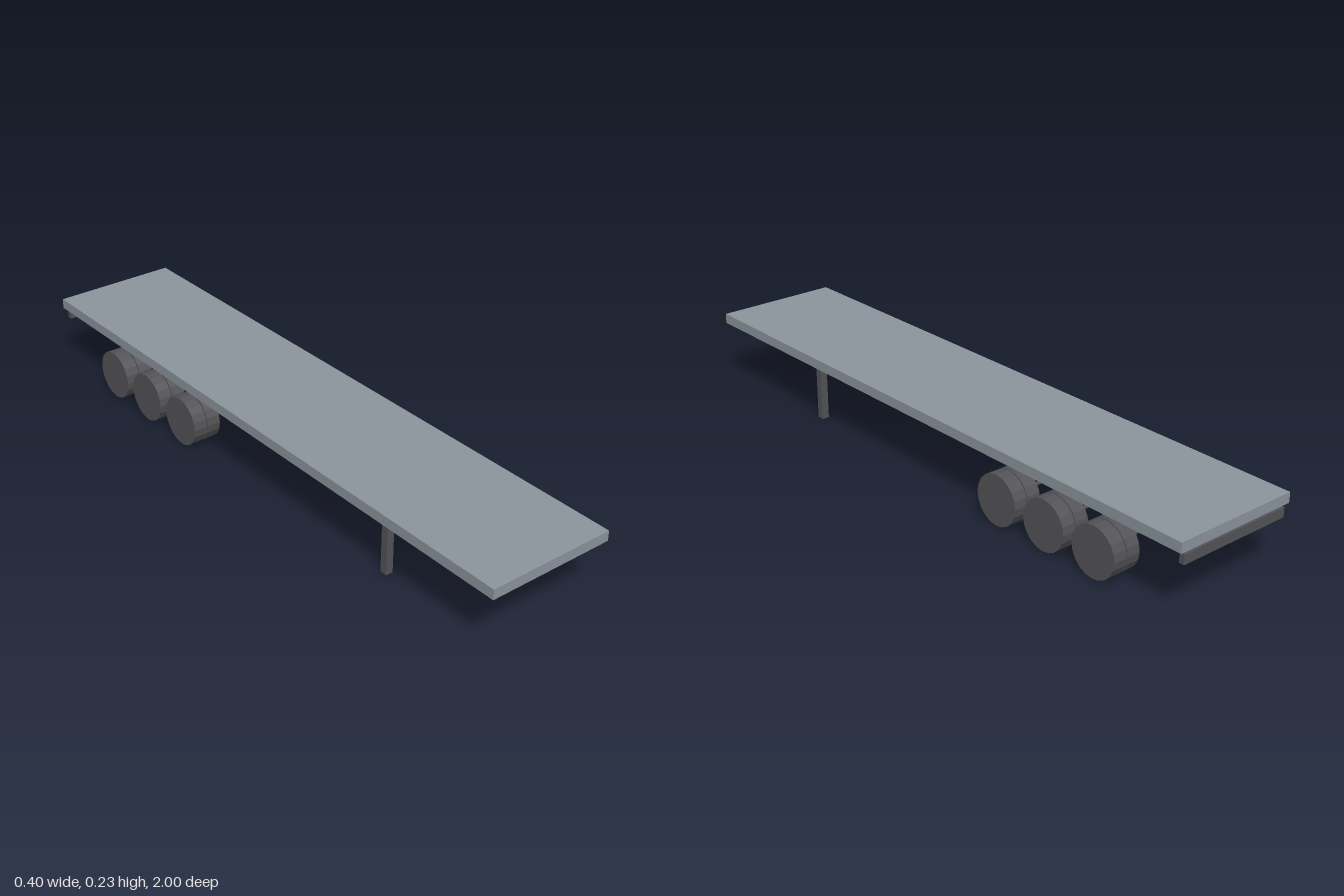
import * as THREE from 'three';

export function createModel() {
  const group = new THREE.Group();
  const deckGrey = new THREE.MeshStandardMaterial({ color: 0x8c959d });
  deckGrey.name = 'deck grey';
  const darkGrey = new THREE.MeshStandardMaterial({ color: 0x545357 });
  darkGrey.name = 'chassis grey';

  const add = (name, geometry, material, x, y, z) => {
    const mesh = new THREE.Mesh(geometry, material);
    mesh.name = name;
    mesh.position.set(x, y, z);
    group.add(mesh);
    return mesh;
  };
  // Box given by its lower and upper limits on each axis
  const box = (name, material, [x0, x1], [y0, y1], [z0, z1]) =>
    add(name, new THREE.BoxGeometry(x1 - x0, y1 - y0, z1 - z0), material,
      (x0 + x1) / 2, (y0 + y1) / 2, (z0 + z1) / 2);
  // Faceted cylinder lying along x
  const roller = (radius, length, sides) => {
    const g = new THREE.CylinderGeometry(radius, radius, length, sides).toNonIndexed();
    g.computeVertexNormals();
    return g.rotateZ(Math.PI / 2);
  };

  // Flat load bed
  box('deck', deckGrey, [-0.2, 0.2], [0.201, 0.232], [-1, 1]);

  // Coupling plate and pin under the nose
  box('couplingPlate', darkGrey, [-0.075, 0.075], [0.179, 0.201], [0.785, 0.97]);
  add('kingpin', new THREE.CylinderGeometry(0.012, 0.012, 0.016, 16), darkGrey, 0, 0.171, 0.87);

  // Rear underrun bar
  box('rearBumper', darkGrey, [-0.185, 0.185], [0.164, 0.193], [-0.998, -0.982]);

  const axleZ = [-0.335, -0.52, -0.705];
  const wheelRadius = 0.077;
  const tyre = roller(wheelRadius, 0.044, 20);
  const axle = roller(0.0055, 0.31, 8);

  for (const side of [-1, 1]) {
    const label = side > 0 ? 'left' : 'right';
    // Long chassis rails
    const rail = box(label + 'Rail', darkGrey, [-0.011, 0.011], [0.156, 0.201], [-0.97, 0.785]);
    rail.position.x = side * 0.061;
    // Landing legs
    const leg = box(label + 'LandingLeg', darkGrey, [-0.0115, 0.0115], [0, 0.179], [0.54, 0.563]);
    leg.position.x = side * 0.139;
    // Twin wheels
    for (const z of axleZ) {
      add(label + 'InnerWheel', tyre, darkGrey, side * 0.127, wheelRadius, z);
      add(label + 'OuterWheel', tyre, darkGrey, side * 0.174, wheelRadius, z);
    }
  }

  for (const z of axleZ) add('axle', axle, darkGrey, 0, wheelRadius + 0.001, z);

  return group;
}
